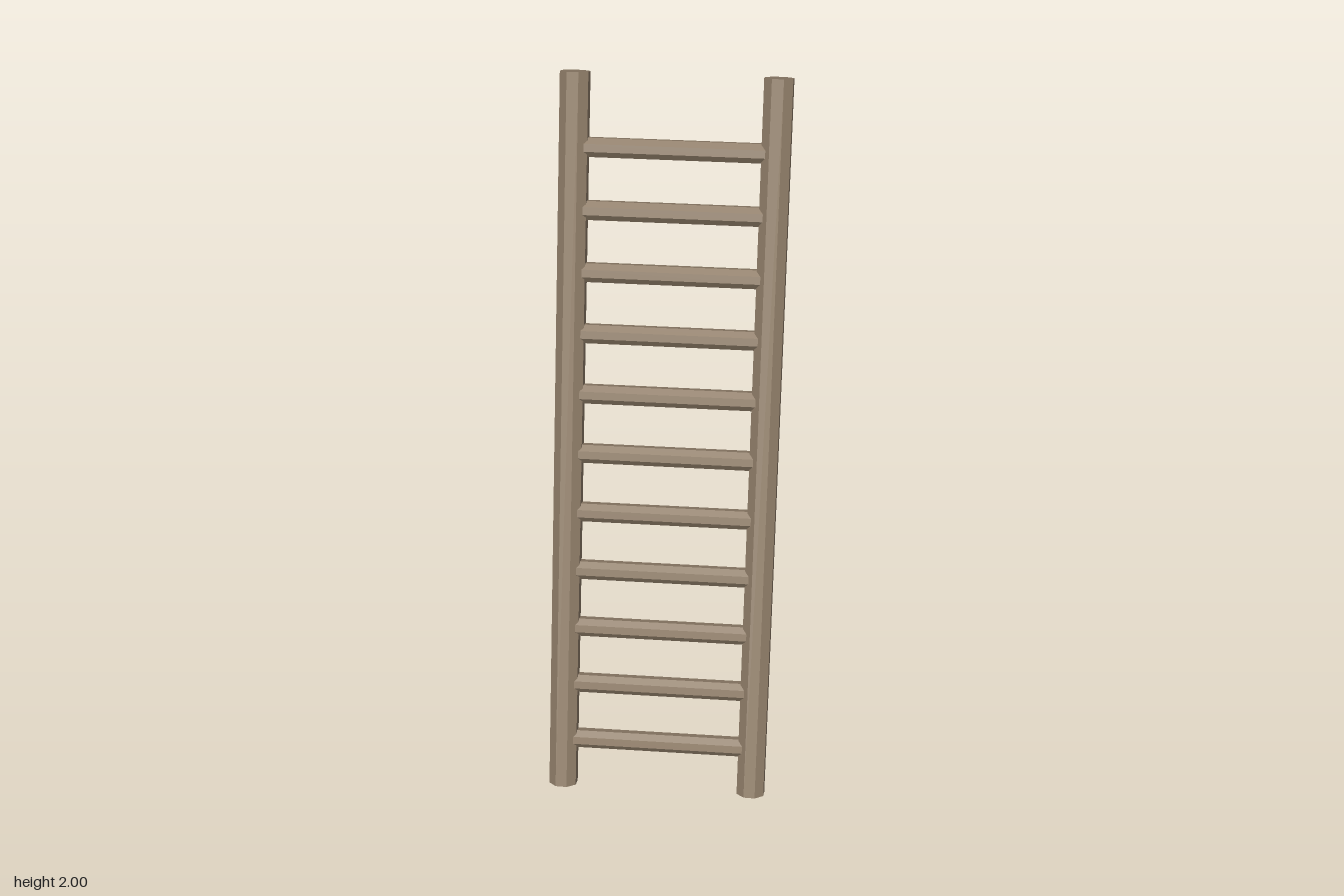
import * as THREE from 'three';

const TILT = THREE.MathUtils.degToRad(-17.7);
const RAIL_X = 0.276, RAIL_R = 0.0425, RAIL_LENGTH = 2.073;
const RUNG_R = 0.0285, RUNG_COUNT = 11, RUNG_LOW = -0.894, RUNG_HIGH = 0.833;

// Eight-sided pole along y with flats facing the axes, plus an optional twist
function pole(radius, length, twist = 0) {
  const g = new THREE.CylinderGeometry(radius, radius, length, 8);
  g.rotateY(Math.PI / 8 + twist);
  return g;
}

export function createModel() {
  const wood = new THREE.MeshStandardMaterial({ color: 0x8f7d68 });
  wood.name = 'weatheredWood';
  wood.flatShading = true;

  const model = new THREE.Group();
  model.name = 'ladder';

  // Everything is built upright, then leaned back as one piece
  const frame = new THREE.Group();
  frame.name = 'leaningFrame';
  frame.position.y = 1;
  frame.rotation.x = TILT;
  model.add(frame);

  // Side rails
  const railGeometry = pole(RAIL_R, RAIL_LENGTH, THREE.MathUtils.degToRad(-3.5));
  for (const [name, side] of [['leftRail', 1], ['rightRail', -1]]) {
    const rail = new THREE.Mesh(railGeometry, wood);
    rail.name = name;
    rail.position.x = side * RAIL_X;
    frame.add(rail);
  }

  // Evenly spaced rungs set into the rails
  const rungGeometry = pole(RUNG_R, RAIL_X * 2).rotateZ(Math.PI / 2);
  for (let i = 0; i < RUNG_COUNT; i++) {
    const rung = new THREE.Mesh(rungGeometry, wood);
    rung.name = `rung${i + 1}`;
    rung.position.y = THREE.MathUtils.lerp(RUNG_LOW, RUNG_HIGH, i / (RUNG_COUNT - 1));
    frame.add(rung);
  }

  return model;
}
